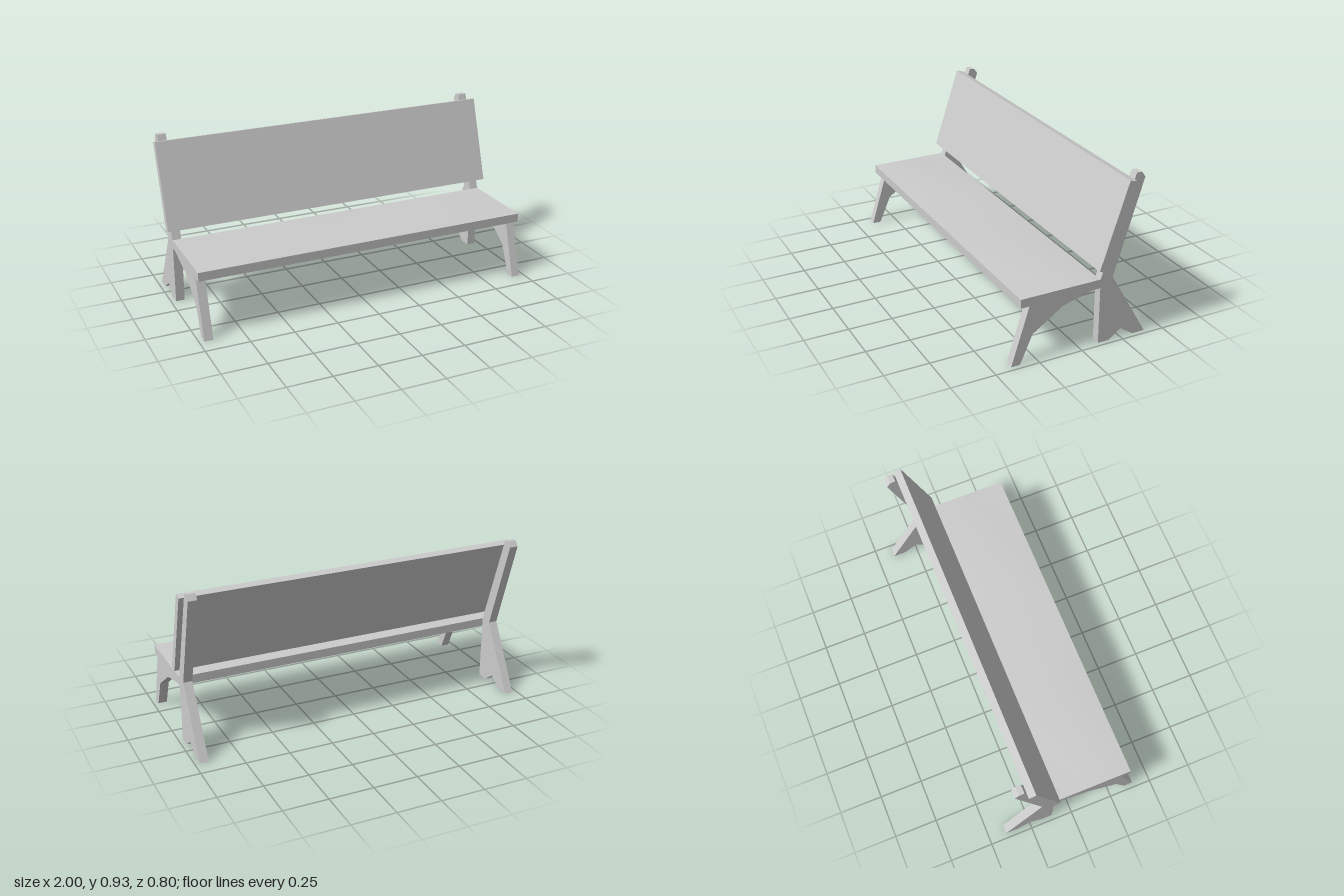
import * as THREE from 'three';

// Extrude a side profile of [z, y] points along x, centred on x = 0
function extrudeProfile(points, width) {
  const shape = new THREE.Shape(points.map(([z, y]) => new THREE.Vector2(z, y)));
  const geometry = new THREE.ExtrudeGeometry(shape, { depth: width, bevelEnabled: false });
  return geometry.rotateY(-Math.PI / 2).translate(width / 2, 0, 0);
}

// Seat plank whose top swells gently in the middle of each half
function seatGeometry(width, height, depth) {
  const geometry = new THREE.BoxGeometry(width, height, depth, 4, 1, 2);
  const p = geometry.attributes.position;
  for (let i = 0; i < p.count; i++) {
    const quarter = Math.abs(Math.abs(p.getX(i)) - width / 4) < 0.001;
    if (quarter && p.getY(i) > 0 && Math.abs(p.getZ(i)) < 0.001) p.setY(i, height / 2 + 0.02);
  }
  geometry.computeVertexNormals();
  return geometry;
}

export function createModel() {
  const bench = new THREE.Group();
  bench.name = 'bench';
  const grey = new THREE.MeshStandardMaterial({ color: 0xcccccc });
  grey.name = 'light grey';

  const add = (name, geometry, x = 0, y = 0, z = 0) => {
    const mesh = new THREE.Mesh(geometry, grey);
    mesh.name = name;
    mesh.position.set(x, y, z);
    bench.add(mesh);
  };

  // Seat and leaning backrest
  add('seat', seatGeometry(1.945, 0.05, 0.462), 0, 0.35, 0.118);
  add('backrest', extrudeProfile(
    [[-0.088, 0.437], [-0.245, 0.908], [-0.286, 0.897], [-0.129, 0.425]], 2));

  // Bracketed front legs, and rear legs that rise into the back posts
  const frontLeg = extrudeProfile(
    [[0.3, 0.325], [-0.07, 0.325], [0.105, 0.28], [0.28, 0.16], [0.35, 0], [0.4, 0]], 0.05);
  const rearLeg = extrudeProfile(
    [[-0.113, 0.375], [-0.113, 0], [-0.178, 0], [-0.25, 0.052], [-0.325, 0], [-0.4, 0],
      [-0.185, 0.375], [-0.351, 0.9], [-0.329, 0.93], [-0.299, 0.93]], 0.05);
  for (const [side, x] of [['left', 0.9475], ['right', -0.9475]]) {
    add(`${side}FrontLeg`, frontLeg, x);
    add(`${side}RearLegAndPost`, rearLeg, x);
  }
  return bench;
}
